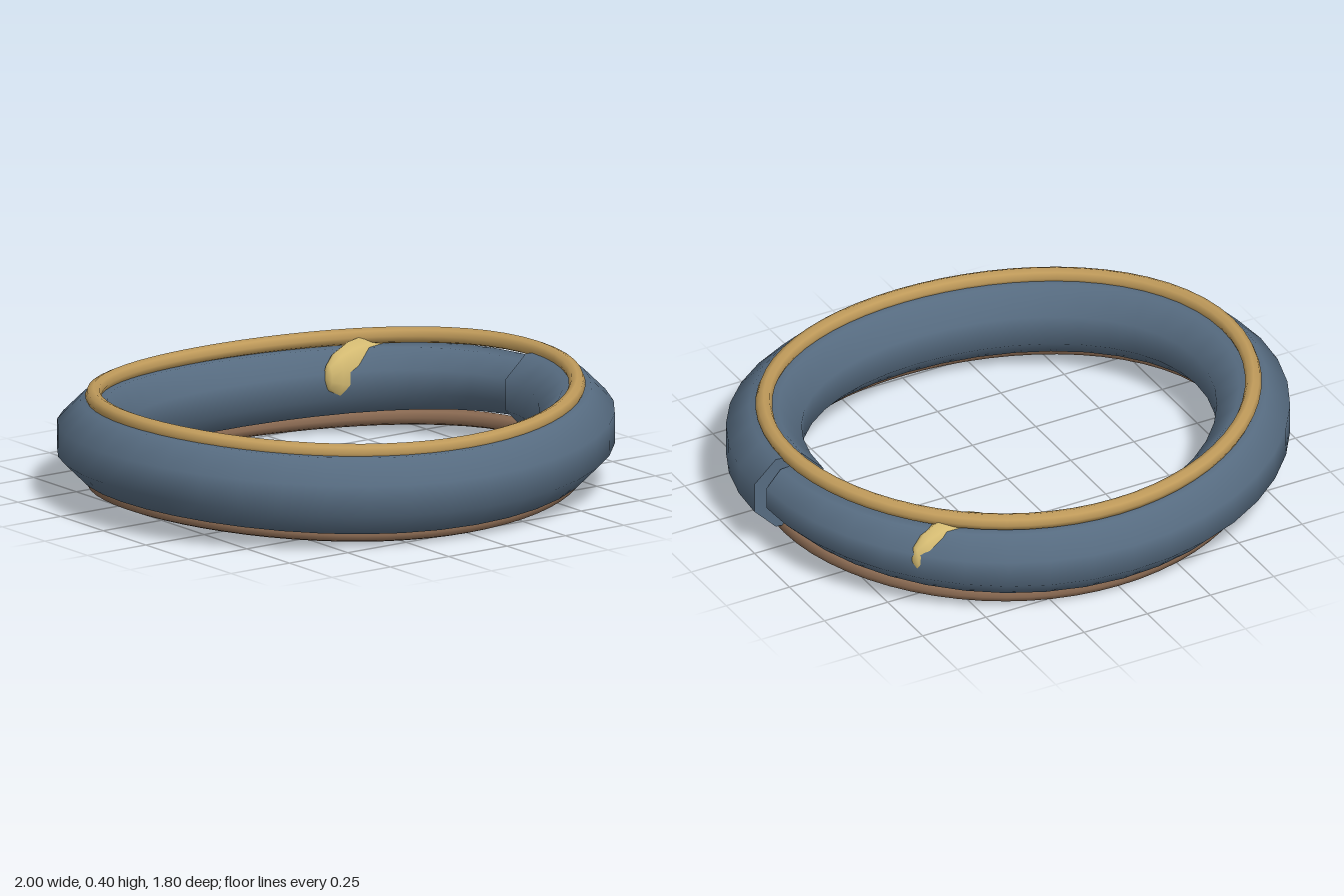
import * as THREE from 'three';

const bodyBlue = new THREE.MeshStandardMaterial({ color: 0x566b80 });
bodyBlue.name = 'slateBlue';
const trimGold = new THREE.MeshStandardMaterial({ color: 0xbf9a5a });
trimGold.name = 'trimGold';
const trimBronze = new THREE.MeshStandardMaterial({ color: 0x8a6a52 });
trimBronze.name = 'trimBronze';
const paleGold = new THREE.MeshStandardMaterial({ color: 0xd8be74 });
paleGold.name = 'paleGold';

const TAU = Math.PI * 2;
const STEPS = 40;

// Saddle-shaped oval path shared by the band and its trims
function pathPoint(t, lift = 0) {
  return new THREE.Vector3(
    0.868 * Math.cos(t),
    0.206 + lift + 0.024 * Math.cos(2 * t),
    -0.0075 + 0.777 * Math.sin(t)
  );
}

// Eight-sided section as [outward, up] offsets
const SECTION = [
  [0.131, -0.055], [0.131, 0.055], [0.05, 0.136], [-0.05, 0.136],
  [-0.131, 0.055], [-0.131, -0.055], [-0.05, -0.136], [0.05, -0.136],
];

// Open band that slims toward its far end, leaving a step at the seam
function bandGeometry() {
  const n = SECTION.length;
  const positions = [];
  const indices = [];
  for (let i = 0; i <= STEPS; i++) {
    const u = i / STEPS;
    const t = u * TAU;
    const before = pathPoint(Math.max(0, t - TAU / STEPS));
    const after = pathPoint(Math.min(TAU, t + TAU / STEPS));
    const tangent = after.sub(before).normalize();
    const outward = new THREE.Vector3(tangent.z, 0, -tangent.x).normalize();
    const up = new THREE.Vector3().crossVectors(tangent, outward);
    const scale = 1 - 0.28 * u ** 4;
    for (const [o, h] of SECTION) {
      const p = pathPoint(t).addScaledVector(outward, o * scale).addScaledVector(up, h * scale);
      positions.push(p.x, p.y, p.z);
    }
  }
  for (let i = 0; i < STEPS; i++) {
    for (let j = 0; j < n; j++) {
      const a = i * n + j, b = i * n + (j + 1) % n;
      indices.push(a, b, a + n, b, b + n, a + n);
    }
  }
  // End caps with their own vertices so the rims stay sharp
  for (const ring of [0, STEPS]) {
    const base = positions.length / 3;
    positions.push(...positions.slice(ring * n * 3, (ring + 1) * n * 3));
    for (let j = 1; j < n - 1; j++) {
      if (ring === 0) indices.push(base, base + j + 1, base + j);
      else indices.push(base, base + j, base + j + 1);
    }
  }
  const geometry = new THREE.BufferGeometry();
  geometry.setAttribute('position', new THREE.Float32BufferAttribute(positions, 3));
  geometry.setIndex(indices);
  geometry.computeVertexNormals();
  return geometry;
}

// Round bead following the path above or below the band
function trimGeometry(lift) {
  const points = [];
  for (let i = 0; i < STEPS; i++) points.push(pathPoint((i / STEPS) * TAU, lift));
  const curve = new THREE.CatmullRomCurve3(points, true);
  return new THREE.TubeGeometry(curve, 64, 0.029, 8, true);
}

export function createModel() {
  const model = new THREE.Group();
  model.name = 'bangle';
  const add = (name, geometry, material) => {
    const mesh = new THREE.Mesh(geometry, material);
    mesh.name = name;
    model.add(mesh);
    return mesh;
  };

  add('band', bandGeometry(), bodyBlue);
  add('upperTrim', trimGeometry(0.146), trimGold);
  add('lowerTrim', trimGeometry(-0.146), trimBronze);

  // Flattened leaf-like stud piercing the band
  const leaf = new THREE.SphereGeometry(1, 10, 8);
  leaf.rotateZ(Math.PI / 2);
  leaf.scale(0.174, 0.12, 0.055);
  const stud = add('leafStud', leaf, paleGold);
  stud.position.set(0.543, 0.232, -0.592);
  stud.rotation.y = 0.11;

  return model;
}
